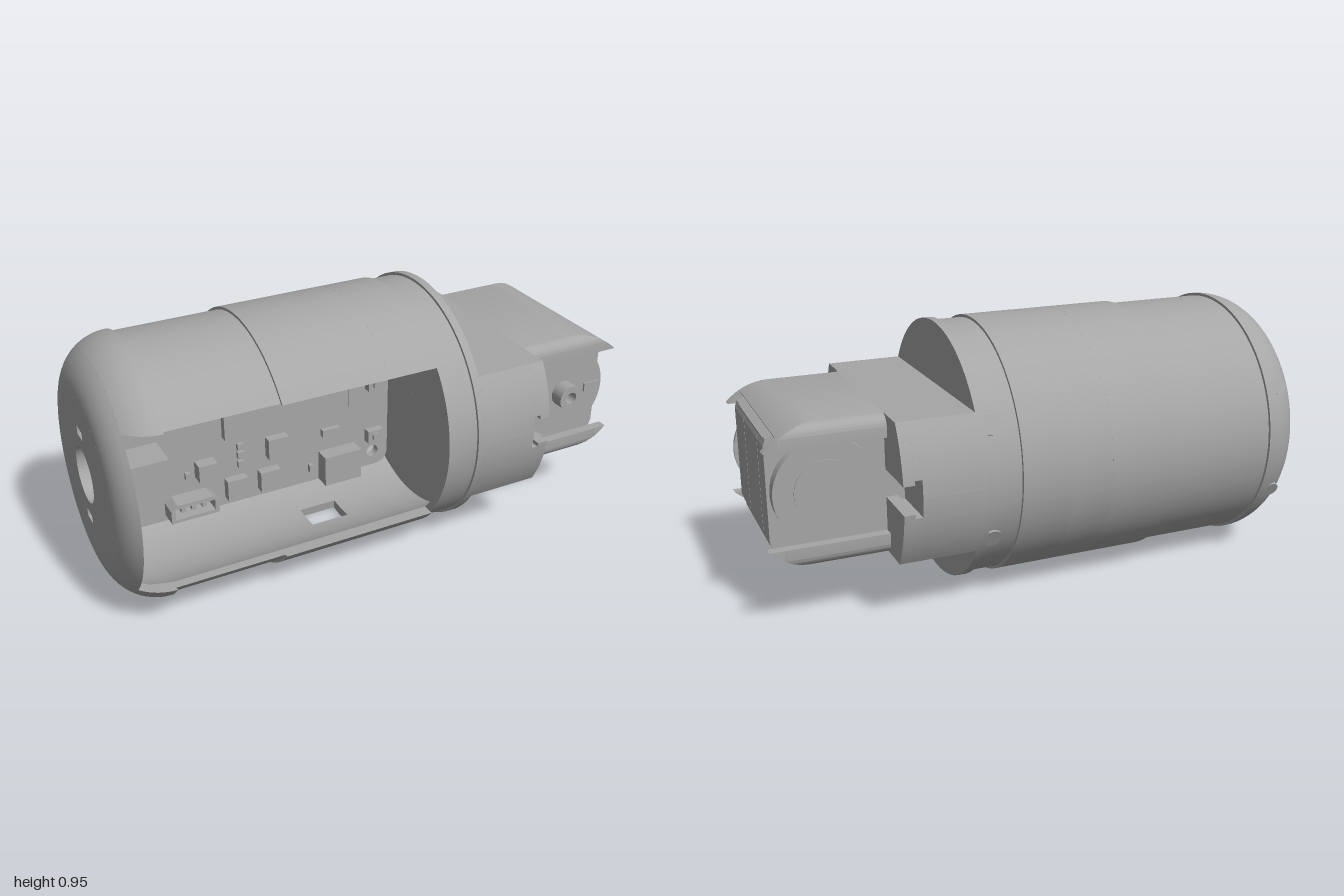
import * as THREE from 'three';
import { toCreasedNormals } from 'three/addons/utils/BufferGeometryUtils.js';

const AXIS = 0.473; // height of the long axis
const R = 0.473, NECK = 0.2475, TAU = Math.PI * 2;

export function createModel() {
  const model = new THREE.Group();
  const grey = new THREE.MeshStandardMaterial({ color: 0xa6a6a6, side: THREE.DoubleSide });
  grey.name = 'plain grey';

  const core = new THREE.Group();
  core.name = 'device';
  core.position.y = AXIS;
  model.add(core);

  function add(name, geo, parent = core) {
    const mesh = new THREE.Mesh(geo, grey);
    mesh.name = name;
    parent.add(mesh);
    return mesh;
  }
  function box(name, x0, x1, y0, y1, z0, z1) {
    const m = add(name, new THREE.BoxGeometry(x1 - x0, y1 - y0, z1 - z0));
    m.position.set((x0 + x1) / 2, (y0 + y1) / 2, (z0 + z1) / 2);
    return m;
  }
  function disc(name, x, y, z, r, depth, sides = 32) {
    const m = add(name, new THREE.CylinderGeometry(r, r, depth, sides));
    m.rotation.x = Math.PI / 2;
    m.position.set(x, y, z);
    return m;
  }
  const poly = (pts) => new THREE.Shape(pts.map((p) => new THREE.Vector2(p[0], p[1])));
  const extrude = (shape, depth, steps = 1) =>
    new THREE.ExtrudeGeometry(shape, { depth, steps, bevelEnabled: false, curveSegments: 32 });
  // cross-section (z, y) pushed along x
  function extrudeX(shape, x0, x1, steps) {
    return extrude(shape, x1 - x0, steps).rotateY(Math.PI / 2).translate(x0, 0, 0);
  }
  function circleHole(x, y, r) {
    return new THREE.Path().absarc(x, y, r, 0, TAU, true);
  }

  // Closed (x, r) profile revolved round x; start and end angles depend on r
  function revolve(profile, from = () => 0, to = () => TAU, seg = 80) {
    const at = ([x, r], t) => {
      const a = from(r) + (to(r) - from(r)) * t;
      return [x, r * Math.sin(a), r * Math.cos(a)];
    };
    const pos = [];
    profile.forEach((p, i) => {
      const q = profile[(i + 1) % profile.length];
      for (let j = 0; j < seg; j++) {
        const a = at(p, j / seg), b = at(p, (j + 1) / seg);
        const c = at(q, (j + 1) / seg), d = at(q, j / seg);
        pos.push(...a, ...b, ...c, ...a, ...c, ...d);
      }
    });
    // cut faces
    if (to(R) - from(R) < TAU - 0.01) {
      const flat = profile.map((p) => new THREE.Vector2(p[0], p[1]));
      for (const f of THREE.ShapeUtils.triangulateShape(flat, [])) {
        for (const i of f) pos.push(...at(profile[i], 0));
        for (const i of [f[0], f[2], f[1]]) pos.push(...at(profile[i], 1));
      }
    }
    const g = new THREE.BufferGeometry();
    g.setAttribute('position', new THREE.Float32BufferAttribute(pos, 3));
    return toCreasedNormals(g, 0.35);
  }

  // Domed end: pierced flat disc and rounded rim
  const end = new THREE.Shape().absarc(0, 0, 0.295, 0, TAU, false);
  end.holes.push(circleHole(0, 0, 0.1));
  for (const s of [-1, 1]) {
    const y = s * 0.165;
    end.holes.push(new THREE.Path([[-0.03, y - 0.016], [-0.03, y + 0.016], [0.03, y + 0.016], [0.03, y - 0.016]]
      .map((p) => new THREE.Vector2(...p))));
  }
  add('endPlate', extrudeX(end, -1, -0.94));
  const fillet = (a) => [-0.822 - 0.178 * Math.cos(a), 0.295 + 0.178 * Math.sin(a)];
  const split = Math.acos(0.118 / 0.178);
  const rim = [], shoulder = [];
  for (let i = 0; i <= 8; i++) {
    rim.push(fillet(split * i / 8));
    shoulder.push(fillet(split + (Math.PI / 2 - split) * i / 8));
  }
  add('domeRim', revolve([...rim, [-0.94, 0.295]]));

  // Body shell, open at the front, with a slot underneath
  const open = (r) => Math.asin(0.3 / r), close = (r) => TAU - open(r);
  const slotA = () => Math.PI * 1.5 - 0.13, slotB = () => Math.PI * 1.5 + 0.13;
  add('rearShell', revolve([...shoulder, [-0.822, 0.463], [-0.42, 0.463], [-0.42, R], [-0.17, R],
    [-0.17, 0.437], [-0.82, 0.437], [-0.9, 0.42], [-0.94, 0.39]], open, close));
  const band = (a, b) => [[a, R], [b, R], [b, 0.437], [a, 0.437]];
  add('slotBandBack', revolve(band(-0.17, -0.02), open, slotA, 50));
  add('slotBandFront', revolve(band(-0.17, -0.02), slotB, close, 24));
  add('middleShell', revolve(band(-0.02, 0.17), open, close));
  add('collar', revolve([[0.17, 0.463], [0.285, 0.463], [0.285, R], [0.315, R],
    [0.315, 0.001], [0.29, 0.001], [0.29, 0.437], [0.17, 0.437]]));

  // Small screw marks on the back of the collar and dome
  for (const s of [-1, 1]) {
    for (const [x, r, size] of [[0.265, 0.463, 0.036], [-0.88, 0.462, 0.03]]) {
      const a = s * 0.45;
      const m = add('screwHole', new THREE.CylinderGeometry(size, size, 0.012, 20));
      m.position.set(x, r * Math.sin(a), -r * Math.cos(a));
      m.rotation.x = -Math.PI / 2 - a * -1;
    }
  }

  // Neck and head shells: one half, mirrored top to bottom
  function neckHalf(y0) {
    const a0 = Math.asin(y0 / R), a1 = Math.asin(NECK / R), pts = [];
    for (let i = 0; i <= 10; i++) {
      const a = a0 + (a1 - a0) * i / 10;
      pts.push([R * Math.cos(a), R * Math.sin(a)]);
    }
    const left = pts.map(([z, y]) => [-z, y]).reverse();
    return poly([...pts, ...left, [-0.28, y0], [-0.28, 0.205], [0.28, 0.205], [0.28, y0]]);
  }
  // lowers everything above the rounded nose curve
  function trimNose(g) {
    const p = g.attributes.position;
    for (let i = 0; i < p.count; i++) {
      const t = Math.max(0, (p.getX(i) - 0.83) / 0.17);
      p.setY(i, Math.min(p.getY(i), NECK - 0.0775 * t * t));
    }
    return toCreasedNormals(g, 0.4);
  }
  const cover = new THREE.Shape();
  cover.moveTo(0.315, 0.17).lineTo(0.315, NECK - 0.045);
  cover.absarc(0.27, NECK - 0.045, 0.045, 0, Math.PI / 2, false);
  cover.absarc(-0.27, NECK - 0.045, 0.045, Math.PI / 2, Math.PI, false);
  cover.lineTo(-0.315, 0.17).lineTo(-0.28, 0.17).lineTo(-0.28, 0.205);
  cover.lineTo(0.28, 0.205).lineTo(0.28, 0.17);
  for (const s of [1, -1]) {
    const half = new THREE.Group();
    half.name = s > 0 ? 'upperHousing' : 'lowerHousing';
    half.scale.y = s;
    core.add(half);
    for (const [x0, x1, gap] of [[0.315, 0.525, 0], [0.525, 0.55, 0.065], [0.55, 0.59, 0.05]]) {
      add('neck', toCreasedNormals(extrudeX(neckHalf(gap), x0, x1), 0.3), half);
    }
    add('headCover', trimNose(extrudeX(cover, 0.59, 0.95, 24)), half);
    for (const z of [-0.2975, 0.2975]) {
      const lip = poly([[z - 0.0175, 0.17], [z + 0.0175, 0.17], [z + 0.0175, 0.21], [z - 0.0175, 0.21]]);
      add('coverLip', trimNose(extrudeX(lip, 0.95, 1, 6)), half);
    }
  }

  // Motor in three stacked slices, with output hub and rear disc
  const side = poly([[0.4, -0.2], [0.95, -0.2], [0.972, -0.19], [0.98, -0.165], [0.98, 0.165],
    [0.972, 0.19], [0.95, 0.2], [0.4, 0.2]]);
  for (const [z0, z1] of [[-0.23, -0.132], [-0.128, 0.083], [0.087, 0.25]]) {
    add('motorSlice', extrude(side, z1 - z0).translate(0, 0, z0));
  }
  box('motorCore', 0.42, 0.975, -0.19, 0.19, -0.2, 0.2);
  const flange = new THREE.Shape();
  flange.absarc(0.81, 0, 0.185, -0.65, 0.65, false);
  flange.absarc(0.81, 0, 0.185, 1.2, Math.PI * 2 - 1.2, false);
  add('hornPlate', extrude(flange, 0.015).translate(0, 0, 0.25));
  const hub = new THREE.Shape().absarc(0.81, 0, 0.05, 0, TAU, false);
  hub.holes.push(circleHole(0.81, 0, 0.024));
  add('outputHub', extrude(hub, 0.07).translate(0, 0, 0.25));
  box('cableTab', 0.91, 0.98, -0.018, 0.018, 0.25, 0.272);
  disc('rearDisc', 0.79, 0, -0.25, 0.18, 0.045, 40);
  disc('rearCap', 0.79, 0, -0.272, 0.11, 0.01, 32);
  box('motorMount', 0.59, 0.625, -0.16, 0.16, 0.25, 0.285);
  for (const s of [-1, 1]) {
    const clip = box('motorClip', 0.63, 0.72, s * 0.15 - 0.014, s * 0.15 + 0.014, 0.25, 0.29);
    clip.rotation.z = s * 0.5;
    box('mountEar', 0.62, 0.71, s * 0.182 - 0.015, s * 0.182 + 0.015, 0.25, 0.28);
  }

  // Circuit board with mounting holes
  const board = new THREE.Shape(), c = 0.05;
  board.absarc(0.165 - c, 0.25 - c, c, 0, Math.PI / 2, false);
  board.absarc(-0.92 + c, 0.25 - c, c, Math.PI / 2, Math.PI, false);
  board.absarc(-0.92 + c, -0.25 + c, c, Math.PI, Math.PI * 1.5, false);
  board.absarc(0.165 - c, -0.25 + c, c, Math.PI * 1.5, TAU, false);
  for (const x of [-0.86, 0.1]) for (const y of [-0.19, 0.19]) board.holes.push(circleHole(x, y, 0.024));
  add('circuitBoard', extrude(board, 0.03));

  // Parts on the board: name, centre x, y, width, height, depth
  const parts = [
    ['plugBlock', -0.84, 0, 0.18, 0.155, 0.13], ['flatModule', -0.265, 0.125, 0.49, 0.185, 0.03],
    ['moduleTab', 0, 0.1, 0.035, 0.11, 0.03], ['capacitor', -0.77, 0.195, 0.03, 0.07, 0.03],
    ['chip', -0.585, -0.068, 0.07, 0.065, 0.05], ['chip', -0.47, -0.178, 0.08, 0.08, 0.035],
    ['chip', -0.34, -0.178, 0.08, 0.08, 0.035], ['chip', -0.305, -0.05, 0.08, 0.08, 0.035],
    ['smallChip', -0.085, -0.05, 0.07, 0.028, 0.02], ['resistor', -0.65, -0.085, 0.018, 0.025, 0.015],
    ['resistor', -0.165, -0.188, 0.018, 0.03, 0.015], ['chargePort', -0.055, -0.19, 0.15, 0.12, 0.06],
    ['button', 0.1, 0.112, 0.065, 0.05, 0.03], ['button', 0.1, -0.11, 0.065, 0.05, 0.03],
    ...[-0.09, -0.052, -0.018].map((y) => ['resistor', -0.445, y, 0.025, 0.025, 0.015]),
  ];
  for (const [name, x, y, w, h, d] of parts) {
    box(name, x - w / 2, x + w / 2, y - h / 2, y + h / 2, 0.03, 0.03 + d);
    if (name === 'button') disc('buttonCap', x, y, 0.065, 0.016, 0.015, 20);
  }

  // Cable sockets with three pins
  for (const s of [-1, 1]) {
    const socket = poly([[-0.74, -0.035], [-0.56, -0.035], [-0.56, 0.015], [-0.585, 0.035], [-0.715, 0.035], [-0.74, 0.015]]);
    socket.holes.push(new THREE.Path([[-0.725, -0.022], [-0.725, 0.02], [-0.575, 0.02], [-0.575, -0.022]]
      .map((p) => new THREE.Vector2(...p))));
    add('cableSocket', extrude(socket, 0.07).translate(0, s * 0.19, 0.03));
    for (const x of [-0.69, -0.65, -0.61]) {
      box('socketPin', x - 0.008, x + 0.008, s * 0.19 - 0.008, s * 0.19 + 0.008, 0.03, 0.085);
    }
  }
  return model;
}
